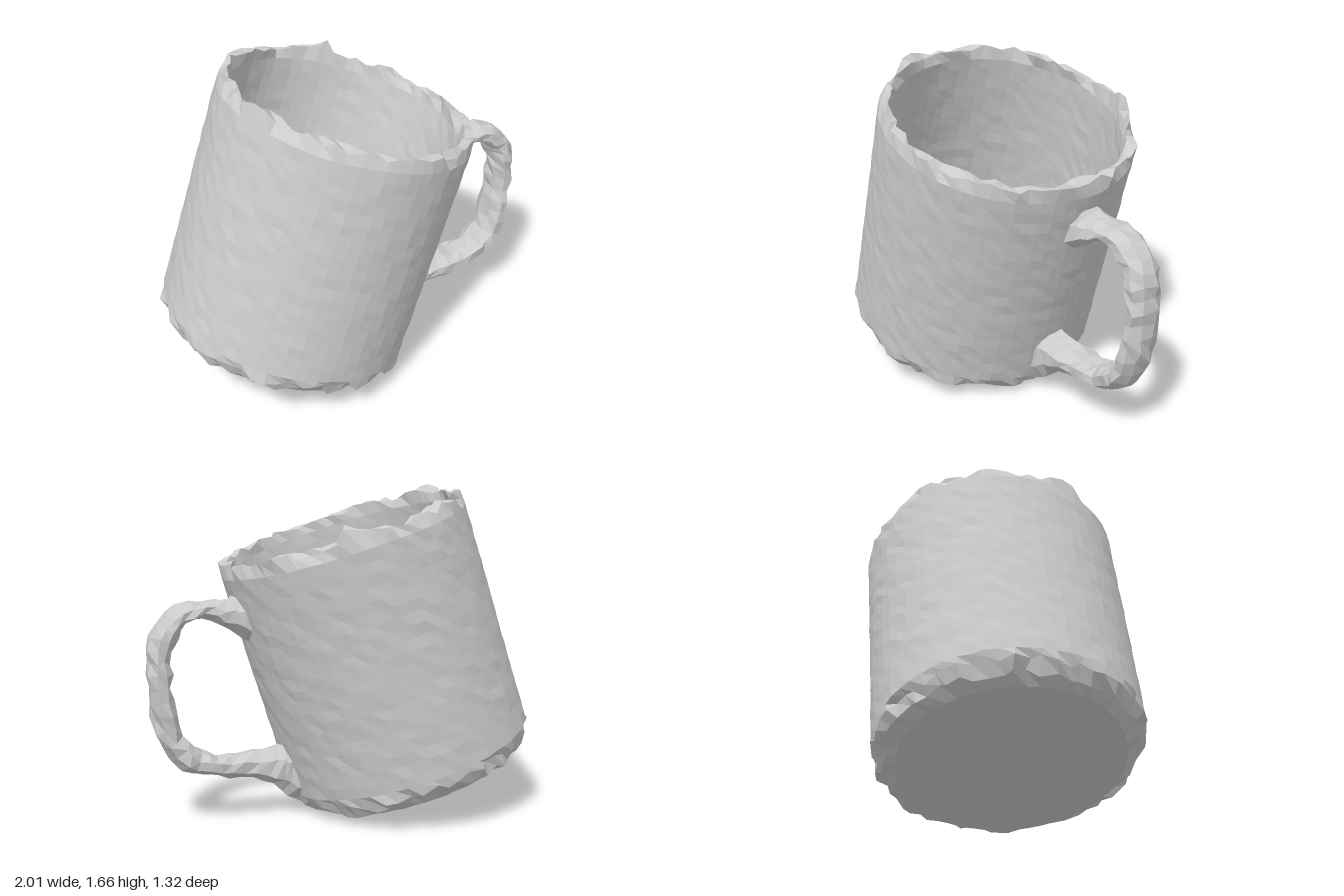
import * as THREE from 'three';

const TILT = 0.305; // lean of the mug towards its handle
const material = new THREE.MeshStandardMaterial({ color: 0xcccccc, flatShading: true, side: THREE.DoubleSide });

// Repeatable noise in -1..1 that depends only on position, so seams stay closed
function noise(x, y, z, k) {
  const s = Math.sin(Math.round(x * 1000) * 12.9898 + Math.round(y * 1000) * 78.233 + Math.round(z * 1000) * 37.719 + k * 4.17) * 43758.5453;
  return (s - Math.floor(s)) * 2 - 1;
}

// Roughens a geometry; amount(x, y, z) gives the size of the displacement
function roughen(geometry, amount) {
  const pos = geometry.attributes.position;
  for (let i = 0; i < pos.count; i++) {
    const x = pos.getX(i), y = pos.getY(i), z = pos.getZ(i);
    const s = amount(x, y, z);
    pos.setXYZ(i, x + s * noise(x, y, z, 1), y + s * noise(x, y, z, 2), z + s * noise(x, y, z, 3));
  }
  geometry.computeVertexNormals();
  return geometry;
}

// Thin-walled cup: closed profile from the base centre, over the rim, to the inner floor
function createCup() {
  const profile = [[0, 0], [0.3, 0], [0.54, 0], [0.595, 0.035], [0.636, 0.085]];
  for (let i = 0; i <= 20; i++) profile.push([0.646, 0.13 + i * 0.058]);
  profile.push([0.63, 1.35], [0.592, 1.355]);
  for (let i = 0; i <= 20; i++) profile.push([0.584, 1.3 - i * 0.059]);
  profile.push([0.57, 0.07], [0.3, 0.065], [0, 0.065]);
  const geometry = new THREE.LatheGeometry(profile.map(([r, y]) => new THREE.Vector2(r, y)), 64);

  roughen(geometry, (x, y, z) => {
    const r = Math.hypot(x, z);
    if (r < 0.5) return 0;
    if (y > 1.32) return 0.02; // chipped rim
    if (y < 0.1 && r > 0.575) return 0.02; // worn base edge
    return 0.003;
  });

  // A few taller crumbs along the rim: [x, z, height]
  const pos = geometry.attributes.position;
  for (const [cx, cz, h] of [[0.15, -0.6, 0.07], [-0.6, 0.2, 0.025], [0.6, -0.1, 0.02]]) {
    for (let i = 0; i < pos.count; i++) {
      if (pos.getY(i) < 1.33) continue;
      const d = Math.hypot(pos.getX(i) - cx, pos.getZ(i) - cz);
      pos.setY(i, pos.getY(i) + h * Math.exp(-((d / 0.06) ** 2)));
    }
  }
  geometry.computeVertexNormals();

  const cup = new THREE.Mesh(geometry, material);
  cup.name = 'cup';
  cup.position.set(-0.409, 0.176, -0.022);
  cup.rotation.set(0.024, 0, -TILT);
  return cup;
}

// Flattened handle, lofted along a curve and flaring where it meets the wall
function createHandle() {
  // [x, y, half thickness, half width]
  const keys = [
    [0.51, 1.02, 0.13, 0.12], [0.6, 1.045, 0.075, 0.1], [0.74, 1.072, 0.045, 0.09],
    [0.87, 1.02, 0.055, 0.09], [0.935, 0.9, 0.056, 0.092], [0.94, 0.74, 0.056, 0.094],
    [0.925, 0.56, 0.056, 0.098], [0.865, 0.39, 0.06, 0.098], [0.75, 0.305, 0.06, 0.098],
    [0.6, 0.28, 0.06, 0.098], [0.43, 0.275, 0.075, 0.1], [0.32, 0.25, 0.12, 0.105], [0.25, 0.223, 0.18, 0.12],
  ];
  const path = new THREE.CatmullRomCurve3(keys.map(k => new THREE.Vector3(k[0], k[1], -0.025)));
  const size = new THREE.CatmullRomCurve3(keys.map(k => new THREE.Vector3(k[2], k[3], 0)));
  const axis = new THREE.Vector3(Math.sin(TILT), Math.cos(TILT), 0);
  const across = new THREE.Vector3(axis.y, -axis.x, 0);
  const rings = 32, sides = 8, wall = 0.165;
  const vertices = [], index = [];

  for (let i = 0; i <= rings; i++) {
    const t = i / rings, c = path.getPoint(t), s = size.getPoint(t), T = path.getTangent(t);
    const N = new THREE.Vector3(-T.y, T.x, 0);
    // End rings lie along the wall
    const w = Math.max(0, 1 - Math.min(t, 1 - t) * 6);
    N.lerp(axis.clone().multiplyScalar(t < 0.5 ? 1 : -1), w).normalize();
    for (let j = 0; j < sides; j++) {
      const a = ((j + 0.5) / sides) * Math.PI * 2;
      const v = c.clone().addScaledVector(N, s.x * Math.cos(a) * 1.05);
      v.z += s.y * Math.sin(a) * 1.05;
      // Keep the ends inside the thickness of the wall
      const depth = v.dot(across);
      if (depth < wall) v.addScaledVector(across, wall - depth);
      vertices.push(v.x, v.y, v.z);
      if (i < rings) {
        const p = i * sides + j, q = i * sides + (j + 1) % sides;
        index.push(p, q, p + sides, q, q + sides, p + sides);
      }
    }
  }
  const geometry = new THREE.BufferGeometry();
  geometry.setAttribute('position', new THREE.Float32BufferAttribute(vertices, 3));
  geometry.setIndex(index);
  roughen(geometry, (x, y) => (x * across.x + y * across.y < 0.2 ? 0.004 : 0.011));

  const handle = new THREE.Mesh(geometry, material);
  handle.name = 'handle';
  return handle;
}

export function createModel() {
  const mug = new THREE.Group();
  mug.name = 'mug';
  mug.add(createCup(), createHandle());
  return mug;
}
